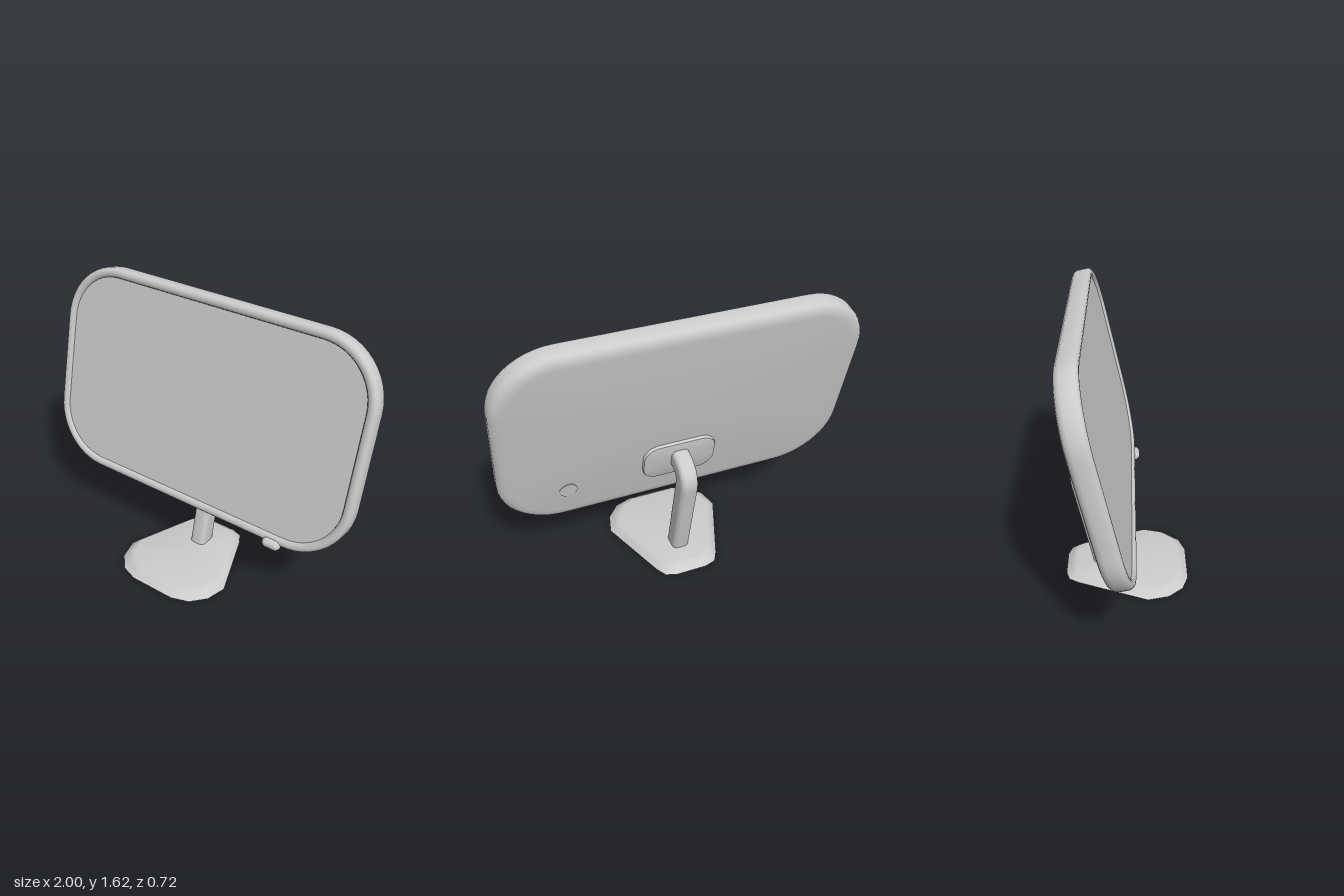
import * as THREE from 'three';
import { toCreasedNormals } from 'three/addons/utils/BufferGeometryUtils.js';

const V3 = (x, y, z) => new THREE.Vector3(x, y, z);
const V2 = (x, y) => new THREE.Vector2(x, y);
const material = new THREE.MeshStandardMaterial({ color: 0xcccccc });
const openMaterial = new THREE.MeshStandardMaterial({ color: 0xcccccc, side: THREE.DoubleSide });

function part(parent, name, geometry, mat = material) {
  const mesh = new THREE.Mesh(geometry, mat);
  mesh.name = name;
  parent.add(mesh);
  return mesh;
}

// Counter-clockwise rounded rectangle
function roundedRect(w, h, r, steps = 12) {
  const pts = [];
  for (let q = 0; q < 4; q++) {
    const cx = (q === 0 || q === 3 ? 1 : -1) * (w / 2 - r);
    const cy = (q < 2 ? 1 : -1) * (h / 2 - r);
    for (let i = 0; i <= steps; i++) {
      const a = (q + i / steps) * Math.PI / 2;
      pts.push(V2(cx + r * Math.cos(a), cy + r * Math.sin(a)));
    }
  }
  return pts;
}

// Skin over closed rings of equal count, with optional end caps
function loft(rings, capStart, capEnd, crease = 0.7) {
  const pos = [];
  const tri = (...p) => p.forEach((v) => pos.push(v.x, v.y, v.z));
  const n = rings[0].length;
  for (let k = 0; k + 1 < rings.length; k++) {
    for (let i = 0; i < n; i++) {
      const j = (i + 1) % n, a = rings[k], b = rings[k + 1];
      tri(a[i], a[j], b[j]);
      tri(a[i], b[j], b[i]);
    }
  }
  const cap = (ring, flip) => {
    const c = ring.reduce((s, p) => s.add(p), V3(0, 0, 0)).divideScalar(n);
    ring.forEach((p, i) => {
      const q = ring[(i + 1) % n];
      if (flip) tri(c, q, p); else tri(c, p, q);
    });
  };
  if (capStart) cap(rings[0], true);
  if (capEnd) cap(rings[rings.length - 1], false);
  const g = new THREE.BufferGeometry();
  g.setAttribute('position', new THREE.Float32BufferAttribute(pos, 3));
  return toCreasedNormals(g, crease);
}

// Rounded slab from a list of [inset, z] steps
const slab = (w, h, r, profile, capEnd) => loft(
  profile.map(([d, z]) => roundedRect(w - 2 * d, h - 2 * d, r - d).map((p) => V3(p.x, p.y, z))),
  true, capEnd);

export function createModel() {
  const model = new THREE.Group();
  model.name = 'desktopDisplay';

  // Base: rounded shield outline, widest toward the front
  const half = [[0.09, -0.36], [0.155, -0.34], [0.19, -0.28], [0.345, 0.12],
    [0.315, 0.24], [0.24, 0.325], [0.14, 0.36]];
  const outline = [
    ...half.map(([x, z]) => V2(x, -z)).reverse(),
    ...half.map(([x, z]) => V2(-x, -z)),
  ];
  const baseRings = [[0, 0], [0.03, 0.025], [0.042, 0.035], [0.062, 0.04]].map(([d, y]) =>
    outline.map((p) => V3(p.x * (1 - d / 0.36), p.y * (1 - d / 0.36), y)));
  part(model, 'base', loft(baseRings, false, true, 0.9).rotateX(-Math.PI / 2));

  // Underside with the opening of the hollow post
  const section = roundedRect(0.1, 0.12, 0.03, 6);
  const sole = new THREE.Shape(outline);
  sole.holes.push(new THREE.Path(section.map((p) => V2(p.x, p.y + 0.13))));
  part(model, 'baseUnderside', new THREE.ShapeGeometry(sole).rotateX(Math.PI / 2).scale(1, 1, -1),
    openMaterial);

  // Post: leans back, then bends forward to the mounting plate
  const foot = V3(0, 0, -0.13), corner = V3(0, 0.675, -0.281), head = V3(0, 0.705, -0.15);
  const lean = corner.clone().sub(foot).normalize();
  const reach = head.clone().sub(corner).normalize();
  const bend = new THREE.QuadraticBezierCurve3(
    corner.clone().addScaledVector(lean, -0.1), corner, corner.clone().addScaledVector(reach, 0.1));
  const stations = [[foot, V3(0, 1, 0)]];
  for (let i = 0; i <= 12; i++) stations.push([bend.getPoint(i / 12), bend.getTangent(i / 12)]);
  stations.push([head, reach]);
  const side = V3(1, 0, 0);
  const postRings = stations.map(([c, t]) => {
    const v = t.clone().cross(side);
    return section.map((p) => c.clone().addScaledVector(side, p.x).addScaledVector(v, p.y));
  });
  part(model, 'post', loft(postRings, false, true), openMaterial);

  // Tilted display head
  const display = new THREE.Group();
  display.name = 'display';
  display.position.set(0, 1.013, -0.141);
  display.rotation.x = -0.223;
  model.add(display);

  // Housing with soft back edge and a rounded rim around the screen
  part(display, 'housing', slab(2, 1.225, 0.35, [
    [0.07, -0.0625], [0.045, -0.06], [0.022, -0.052], [0.007, -0.038], [0, -0.02],
    [0, 0.035], [0.004, 0.049], [0.013, 0.059], [0.025, 0.0625],
    [0.04, 0.0605], [0.05, 0.054], [0.055, 0.044],
  ], false));
  part(display, 'screen', new THREE.ShapeGeometry(
    new THREE.Shape(roundedRect(1.89, 1.115, 0.295))).translate(0, 0, 0.046));

  // Mounting plate on the back
  part(display, 'mountingPlate', slab(0.42, 0.25, 0.09, [
    [0.01, -0.083], [0.003, -0.081], [0, -0.076], [0, -0.055],
  ], true)).position.y = -0.305;

  // Round button on the back
  const button = part(display, 'backButton', new THREE.CylinderGeometry(0.05, 0.05, 0.02, 32));
  button.rotation.x = Math.PI / 2;
  button.position.set(0.63, -0.375, -0.057);

  // Small control knob under the front rim
  const knob = part(model, 'controlKnob', new THREE.CapsuleGeometry(0.03, 0.05, 8, 20));
  knob.rotation.z = Math.PI / 2;
  knob.position.set(0.595, 0.43, 0.05);

  return model;
}
